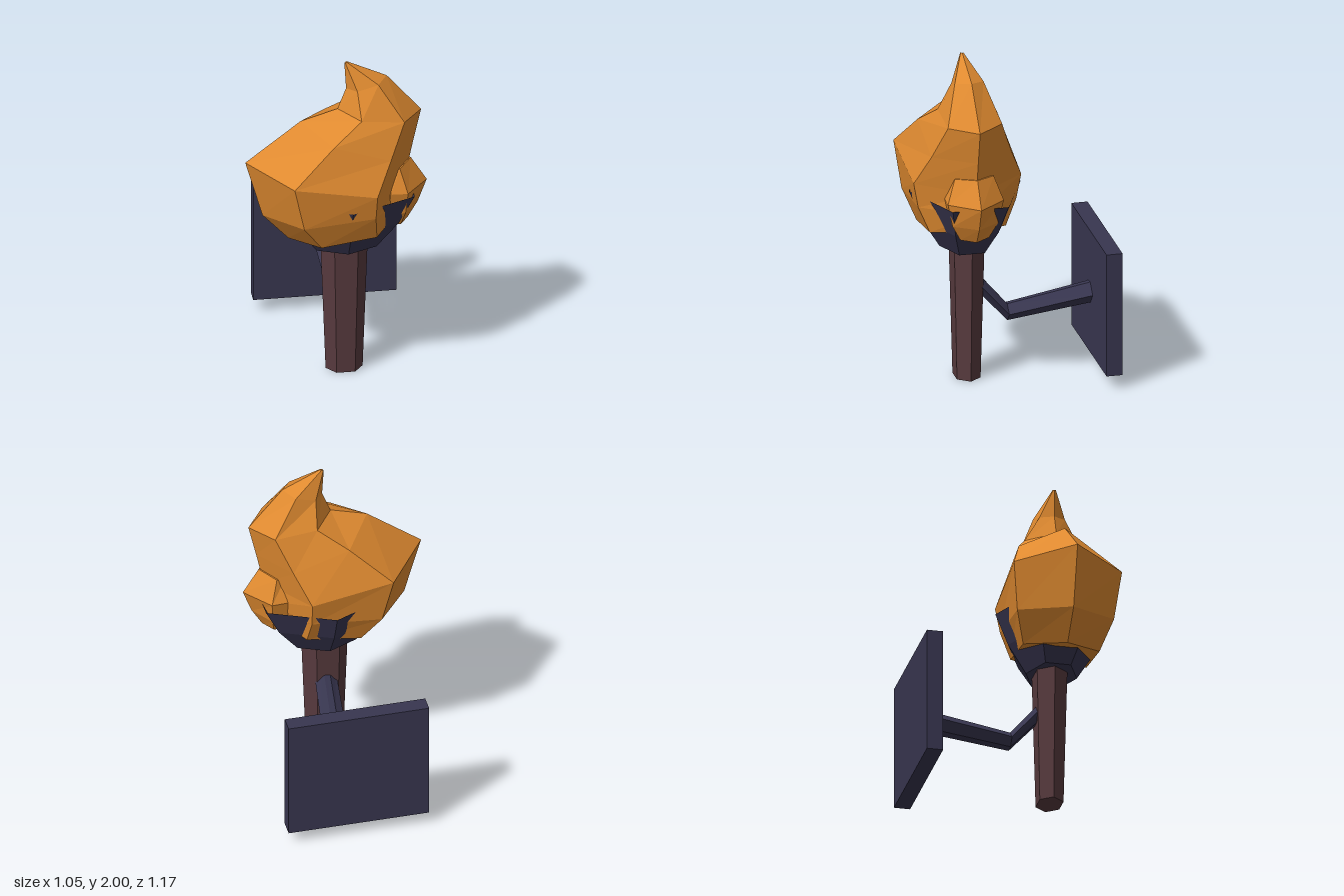
import * as THREE from 'three';

const flat = (name, color, side = THREE.FrontSide) => {
  const m = new THREE.MeshStandardMaterial({ color, flatShading: true, side });
  m.name = name;
  return m;
};

// Skin a stack of equal-length rings and close both ends
function loft(rings) {
  const n = rings[0].length, last = (rings.length - 1) * n, index = [];
  for (let r = 0; r < rings.length - 1; r++) {
    for (let i = 0; i < n; i++) {
      const a = r * n + i, b = r * n + (i + 1) % n;
      index.push(a, b, b + n, a, b + n, a + n);
    }
  }
  for (let i = 1; i < n - 1; i++) {
    index.push(0, i + 1, i, last, last + i, last + i + 1);
  }
  const g = new THREE.BufferGeometry();
  g.setAttribute('position', new THREE.Float32BufferAttribute(rings.flat(2), 3));
  g.setIndex(index);
  const out = g.toNonIndexed();
  out.computeVertexNormals();
  return out;
}

// Six-sided ring mirrored in z: left point, two side points, right point
const FLAME_Z = 0.265;
const hexRing = ([lx, ly, ax, ay, az, bx, by, bz, rx, ry]) => [
  [lx, ly, FLAME_Z],
  [ax, ay, FLAME_Z + az], [bx, by, FLAME_Z + bz],
  [rx, ry, FLAME_Z],
  [bx, by, FLAME_Z - bz], [ax, ay, FLAME_Z - az],
];

export function createModel() {
  const group = new THREE.Group();
  const iron = flat('dark iron', 0x383650);
  const ironOpen = flat('dark iron bowl', 0x383650, THREE.DoubleSide);
  const wood = flat('brown wood', 0x573a3e);
  const fire = flat('orange flame', 0xdf8a30);

  const add = (name, geometry, material) => {
    const mesh = new THREE.Mesh(geometry, material);
    mesh.name = name;
    group.add(mesh);
    return mesh;
  };

  // Wall plate
  add('wallPlate', new THREE.BoxGeometry(0.83, 0.75, 0.095), iron)
    .position.set(0.046, 0.455, -0.5375);

  // Bent arm from the plate to the handle
  const profile = [[-0.078, 0], [-0.035, -0.06], [0.025, -0.063],
    [0.08, 0], [0.018, 0.06], [-0.025, 0.056]];
  const armSections = [[-0.5, 0.455, 1, 1], [0, 0.378, 0.87, 0.8], [0.22, 0.63, 0.8, 0.95]];
  add('arm', loft(armSections.map(([z, y, sx, sy]) =>
    profile.map(([px, py]) => [0.055 + px * sx, y + py * sy, z]))), iron);

  // Tapered, flattened six-sided handle
  const handle = add('handle',
    new THREE.CylinderGeometry(0.138, 0.1075, 0.84, 6, 1, false, Math.PI / 6), wood);
  handle.position.set(0.048, 0.42, 0.235);
  handle.scale.z = 0.75;

  // Flared bowl, open at the top
  const bowlProfile = [[0, 0.815], [0.2, 0.815], [0.34, 0.985], [0.44, 1.17]]
    .map(([r, y]) => new THREE.Vector2(r, y));
  const bowl = add('bowl', new THREE.LatheGeometry(bowlProfile, 6), ironOpen);
  bowl.position.set(0.05, 0, 0.246);
  bowl.scale.z = 0.75;

  // Main flame, swelling to the side and curling to a tip
  add('flame', loft([
    [-0.28, 0.88, -0.12, 0.92, 0.225, 0.2, 0.965, 0.225, 0.36, 1.0],
    [-0.43, 1.04, -0.23, 1.08, 0.285, 0.185, 1.12, 0.29, 0.4, 1.12],
    [-0.53, 1.39, -0.29, 1.355, 0.318, 0.19, 1.27, 0.318, 0.4, 1.25],
    [-0.21, 1.635, -0.05, 1.57, 0.235, 0.28, 1.46, 0.235, 0.445, 1.46],
    [0.005, 1.7, 0.122, 1.69, 0.16, 0.37, 1.665, 0.16, 0.49, 1.66],
    [0.055, 1.83, 0.11, 1.84, 0.075, 0.23, 1.88, 0.085, 0.29, 1.895],
    [0.045, 1.99, 0.05, 1.995, 0.008, 0.06, 2.0, 0.008, 0.067, 2.0],
  ].map(hexRing)), fire);

  // Small side flame
  add('sideFlame', loft([
    [0.2, 0.97, 0.28, 0.965, 0.08, 0.36, 0.965, 0.085, 0.41, 0.96],
    [0.2, 1.06, 0.28, 1.06, 0.13, 0.38, 1.06, 0.135, 0.47, 1.06],
    [0.2, 1.2, 0.29, 1.2, 0.16, 0.39, 1.2, 0.165, 0.523, 1.2],
    [0.25, 1.34, 0.3, 1.33, 0.1, 0.35, 1.34, 0.115, 0.43, 1.35],
  ].map(hexRing)), fire);

  return group;
}
